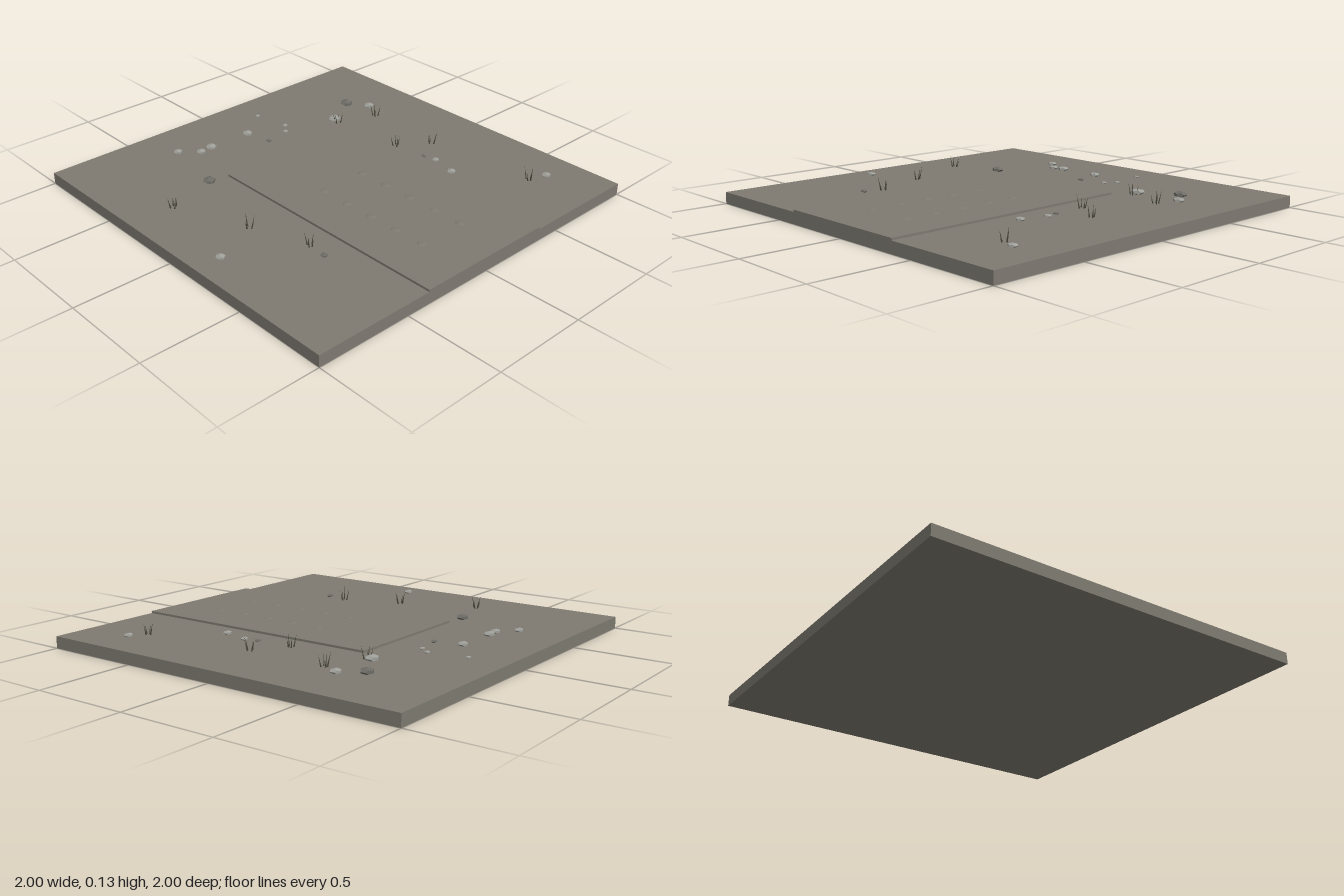
import * as THREE from 'three';

const mat = (name, color) => {
  const m = new THREE.MeshStandardMaterial({ color });
  m.name = name;
  return m;
};

export function createModel() {
  const group = new THREE.Group();
  const ground = mat('ground', 0x7e7a71);
  const pale = mat('paleStone', 0x9f9f9a);
  const dark = mat('darkStone', 0x6e6c66);
  const grass = mat('dryGrass', 0x4c4a3c);
  for (const m of [pale, dark, ground]) m.flatShading = true;

  const add = (name, geo, material, x, y, z, parent = group) => {
    const mesh = new THREE.Mesh(geo, material);
    mesh.name = name;
    mesh.position.set(x, y, z);
    parent.add(mesh);
    return mesh;
  };

  // Ground tile and the raised path reaching its front edge
  add('groundTile', new THREE.BoxGeometry(2, 0.06, 2), ground, 0, 0.03, 0);
  add('path', new THREE.BoxGeometry(0.745, 0.011, 1.375), ground, 0, 0.0655, 0.3125);

  // Two rows of shallow bumps on the path
  const bump = new THREE.SphereGeometry(0.024, 8, 6);
  for (const x of [-0.13, 0.13])
    for (let i = 0; i < 5; i++)
      add('pathBump', bump, ground, x, 0.071, 0.075 + i * 0.163).scale.y = 0.16;

  // Flattened faceted stones: x, z, radius
  const stoneGeo = new THREE.DodecahedronGeometry(1, 0);
  const stones = (name, material, list) => list.forEach(([x, z, r]) => {
    add(name, stoneGeo, material, x, 0.062 + r * 0.3, z).scale.set(r, r * 0.45, r);
  });
  stones('paleStone', pale, [
    [-0.41, -0.75, 0.024], [-0.32, -0.67, 0.025], [-0.25, -0.675, 0.029],
    [-0.01, -0.67, 0.027], [0.17, -0.805, 0.013], [0.205, -0.61, 0.015],
    [0.16, -0.555, 0.014], [0.455, -0.48, 0.035], [0.715, -0.475, 0.029],
    [-0.86, 0.195, 0.024], [0.515, 0.22, 0.019], [0.48, 0.36, 0.023], [0.8, 0.71, 0.024],
  ]);
  stones('darkStone', dark, [
    [0.02, -0.53, 0.016], [0.64, -0.585, 0.035], [-0.48, -0.39, 0.033],
    [-0.515, 0.495, 0.018], [0.5, 0.15, 0.014],
  ]);

  // Grass tufts: leaning narrow blades
  const blade = new THREE.ConeGeometry(0.0045, 1, 4).translate(0, 0.5, 0);
  const tufts = [
    [-0.755, -0.31], [-0.605, 0.08], [-0.5, 0.385], [0.45, -0.45],
    [0.66, -0.37], [0.485, -0.04], [0.645, 0.07], [0.71, 0.67],
  ];
  tufts.forEach(([x, z], t) => {
    const tuft = new THREE.Group();
    tuft.name = 'grassTuft';
    tuft.position.set(x, 0.058, z);
    group.add(tuft);
    for (let i = 0; i < 4; i++) {
      const a = t * 1.3 + i * 1.75;
      const b = add('grassBlade', blade, grass, Math.cos(a) * 0.014, 0, Math.sin(a) * 0.014, tuft);
      b.scale.y = 0.048 + ((t * 3 + i * 5) % 7) * 0.0045;
      b.rotation.set(Math.sin(a) * 0.22, 0, -Math.cos(a) * 0.22);
    }
  });

  return group;
}
